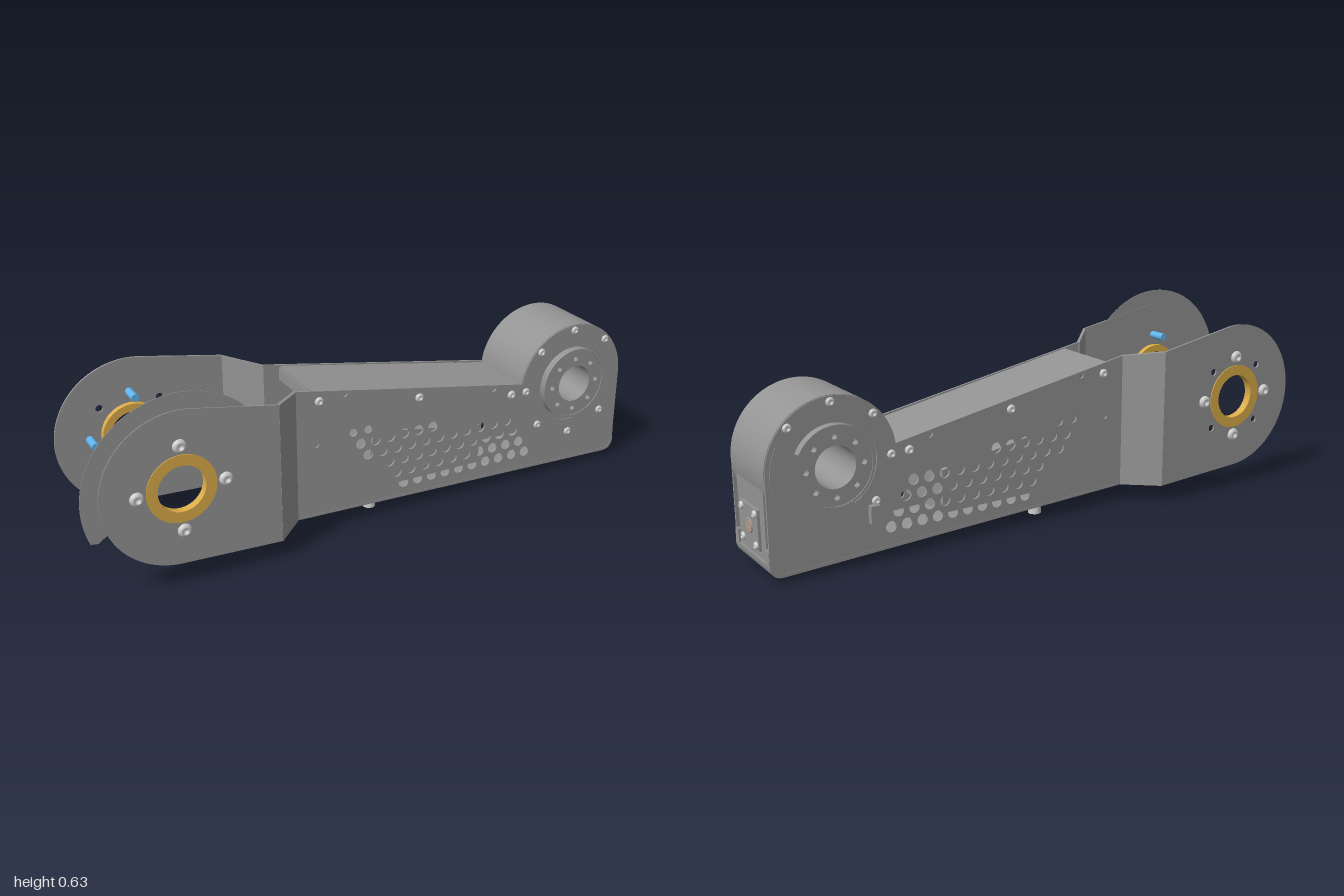
import * as THREE from 'three';

const mat = (color) => new THREE.MeshStandardMaterial({ color });
const DARK = mat(0x949494), GREY = mat(0xcccccc);
const GOLD = mat(0xdcad48), BLUE = mat(0x62b5ee), COPPER = mat(0xb59a88);
const T = 0.007;                     // sheet thickness
const BIG = { x: -0.697, y: 0.328 }; // axis of the fork ears
const DRUM = { x: 0.778, y: 0.328, r: 0.21 };
const topY = (x) => 0.546 - 0.179 * (x + 0.49);
const botY = (x) => 0.06 - 0.031 * (x + 0.28);

export function createModel() {
  const root = new THREE.Group();

  const add = (name, geo, material = DARK, parent = root) => {
    const m = new THREE.Mesh(geo, material);
    m.name = name;
    parent.add(m);
    return m;
  };
  const box = (name, size, [x, y, z]) => add(name, new THREE.BoxGeometry(...size)).position.set(x, y, z);
  const hole = (shape, x, y, r) => {
    shape.holes.push(new THREE.Path().absarc(x, y, r, 0, Math.PI * 2, true));
  };
  const disc = (x, y, r) => new THREE.Shape().absarc(x, y, r, 0, Math.PI * 2, false);
  const sector = (c, r0, r1, a0, a1) =>
    new THREE.Shape().absarc(c.x, c.y, r1, a0, a1, false).absarc(c.x, c.y, r0, a1, a0, true);
  const poly = (pts) => new THREE.Shape(pts.map(([x, y]) => new THREE.Vector2(x, y)));
  // Extrude an x-y outline between two z values
  const slab = (shape, z0, z1, curveSegments = 12) =>
    new THREE.ExtrudeGeometry(shape, { depth: z1 - z0, bevelEnabled: false, curveSegments }).translate(0, 0, z0);

  // Domed screw head with a socket, pointing along dir
  const screw = (x, y, z, dir, r, h, name, parent = root) => {
    const p = [[r, 0], [r, h * 0.3], [r * 0.92, h * 0.65], [r * 0.65, h * 0.95], [r * 0.4, h], [r * 0.35, h * 0.4], [0, h * 0.4]];
    const m = add(name, new THREE.LatheGeometry(p.map(([a, b]) => new THREE.Vector2(a, b)), 16), GREY, parent);
    m.position.set(x, y, z);
    m.quaternion.setFromUnitVectors(new THREE.Vector3(0, 1, 0), dir);
  };

  // Ventilation holes in a staggered grid, kept clear of the drum
  const ventHoles = (shape) => {
    for (let j = 0; j < 6; j++) {
      const y = 0.1 + j * 0.045;
      for (let i = 0; i < 16; i++) {
        const x = -0.16 + i * 0.054 + (j % 2) * 0.027;
        const clear = Math.hypot(x - DRUM.x, y - DRUM.y) > 0.245;
        if (x > -0.12 + (0.34 - y) * 0.9 && x < 0.62 && y < 0.345 - 0.17 * (x + 0.12) && clear)
          hole(shape, x, y, j === 5 ? 0.014 : 0.018);
      }
    }
  };

  for (const s of [1, -1]) {
    const side = new THREE.Group();
    side.name = s > 0 ? 'frontSide' : 'backSide';
    root.add(side);
    const out = new THREE.Vector3(0, 0, s);
    // Sheet lying between two distances from the middle plane, on this side
    const sheet = (shape, near, far) => slab(shape, s > 0 ? near : -far, s > 0 ? far : -near, 40);

    // Flat cheek plate, wrapped around the drum
    const cheek = new THREE.Shape();
    cheek.moveTo(-0.28, botY(-0.28));
    cheek.lineTo(0.945, botY(0.945));
    cheek.quadraticCurveTo(0.986, 0.022, 0.986, 0.06);
    cheek.lineTo(0.986, DRUM.y);
    cheek.absarc(DRUM.x, DRUM.y, 0.208, 0, Math.PI - 0.15, false);
    cheek.lineTo(-0.28, topY(-0.28));
    hole(cheek, DRUM.x, DRUM.y, 0.142);
    hole(cheek, -0.21, 0.31, 0.008);
    hole(cheek, -0.11, 0.466, 0.01);
    hole(cheek, 0.455, 0.366, 0.01);
    ventHoles(cheek);
    add('cheekPlate', sheet(cheek, 0.125 - T, 0.125), DARK, side);

    // Bent panel joining cheek and ear, sheared outward
    const flare = sheet(poly([[-0.38, 0.063], [-0.28, 0.06], [-0.28, topY(-0.28)], [-0.38, topY(-0.38)]]), 0.113, 0.127);
    const pos = flare.attributes.position;
    for (let i = 0; i < pos.count; i++)
      pos.setZ(i, pos.getZ(i) + s * 0.098 * (-0.28 - pos.getX(i)) / 0.1);
    flare.computeVertexNormals();
    add('flarePanel', flare, DARK, side);

    // Rounded fork ear
    const ear = new THREE.Shape();
    ear.moveTo(-0.38, 0.063);
    ear.lineTo(-0.38, topY(-0.38));
    ear.absarc(BIG.x, BIG.y, 0.25, 1.39, 4.67, false);
    hole(ear, BIG.x, BIG.y, 0.095);
    if (s < 0)
      for (let k = 0; k < 4; k++) {
        const a = Math.PI / 4 + k * Math.PI / 2;
        hole(ear, BIG.x + 0.14 * Math.cos(a), BIG.y + 0.14 * Math.sin(a), 0.012);
      }
    add('forkEar', sheet(ear, 0.224 - T, 0.224), DARK, side);

    // Bearing ring, its screws and the standoffs inside
    const ring = [[0.075, 0.2], [0.1, 0.2], [0.1, 0.216], [0.11, 0.224], [0.11, 0.227], [0.075, 0.227], [0.075, 0.2]];
    const ringPts = ring.flatMap(([r, z]) => [new THREE.Vector2(r, z), new THREE.Vector2(r, z)]).slice(1, -1);
    const bearing = add('bearingRing', new THREE.LatheGeometry(ringPts, 48), GOLD, side);
    bearing.rotation.x = s * Math.PI / 2;
    bearing.position.set(BIG.x, BIG.y, 0);
    for (let k = 0; k < 4; k++) {
      const a = k * Math.PI / 2;
      const x = BIG.x + 0.138 * Math.cos(a), y = BIG.y + 0.138 * Math.sin(a);
      screw(x, y, s * 0.224, out, 0.022, 0.013, 'earScrew', side);
      const rod = add('standoff', new THREE.CylinderGeometry(0.013, 0.013, 0.062, 16), BLUE, side);
      rod.rotation.x = Math.PI / 2;
      rod.position.set(x, y, s * 0.186);
    }

    // Hub disc with eight bolt holes and a raised rim
    const hub = disc(DRUM.x, DRUM.y, 0.127);
    hole(hub, DRUM.x, DRUM.y, 0.065);
    for (let k = 0; k < 8; k++) {
      const a = k * Math.PI / 4;
      hole(hub, DRUM.x + 0.092 * Math.cos(a), DRUM.y + 0.092 * Math.sin(a), 0.009);
    }
    add('hubDisc', sheet(hub, 0.12, 0.144), DARK, side);
    add('hubRim', sheet(sector(DRUM, 0.118, 0.127, 0, Math.PI * 2), 0.144, 0.147), DARK, side);

    // Cheek screws around the drum and along the top edge
    for (let k = 1; k < 8; k++) {
      const a = k * Math.PI / 4;
      screw(DRUM.x + 0.19 * Math.cos(a), DRUM.y + 0.19 * Math.sin(a), s * 0.125, out, 0.014, 0.008, 'drumScrew', side);
    }
    for (const [x, y] of [[-0.2, 0.46], [0.163, 0.397], [0.528, 0.33]])
      screw(x, y, s * 0.125, out, 0.015, 0.009, 'cheekScrew', side);
  }

  // Thin stop plates: one on the front ear, one on the back of the drum
  const earStop = new THREE.Shape();
  earStop.moveTo(-0.49, 0.546);
  earStop.absarc(BIG.x, BIG.y, 0.303, 0.81, 3.52, false);
  earStop.lineTo(-0.955, 0.213);
  earStop.lineTo(-0.929, 0.232);
  earStop.absarc(BIG.x, BIG.y, 0.235, 3.54, 0.81, true);
  add('earStopPlate', slab(earStop, 0.2185, 0.2205, 40));
  add('drumStopPlate', slab(sector(DRUM, 0.12, 0.204, -2, 0.47), -0.149, -0.147, 40));

  // Drum housing with a through bore
  const drum = disc(DRUM.x, DRUM.y, DRUM.r);
  hole(drum, DRUM.x, DRUM.y, 0.065);
  add('drum', slab(drum, -0.121, 0.121, 48));

  // Sloping top cover with a lip at its open end
  add('topCover', slab(poly([[-0.22, topY(-0.22) - 0.012], [0.59, topY(0.59) - 0.012],
    [0.59, topY(0.59) - 0.003], [-0.22, topY(-0.22) - 0.003]]), -0.12, 0.12));
  box('coverLip', [0.006, 0.04, 0.238], [-0.22, topY(-0.22) - 0.03, 0]);

  // Bottom tray curling up at the drum end
  const tray = new THREE.Shape();
  tray.moveTo(-0.27, botY(-0.27));
  tray.lineTo(0.945, botY(0.945));
  tray.quadraticCurveTo(0.988, 0.022, 0.988, 0.066);
  tray.lineTo(0.978, 0.066);
  tray.quadraticCurveTo(0.978, 0.033, 0.945, 0.033);
  tray.lineTo(-0.27, botY(-0.27) + 0.008);
  add('bottomTray', slab(tray, -0.126, 0.126));
  for (const s of [1, -1]) box('trayTab', [0.01, 0.046, 0.024], [0.983, 0.085, s * 0.112]);
  box('endWall', [0.01, 0.16, 0.238], [0.9, 0.115, 0]);

  // End panel with a square connector plate
  box('endPanel', [0.012, 0.225, 0.194], [0.977, 0.179, 0]);
  box('connectorPlate', [0.01, 0.126, 0.126], [0.986, 0.153, 0]);
  const right = new THREE.Vector3(1, 0, 0);
  for (const z of [-0.048, 0.048])
    for (const y of [0.105, 0.201]) screw(0.991, y, z, right, 0.012, 0.009, 'plateScrew');
  const socketRing = add('socketRing', new THREE.TorusGeometry(0.021, 0.003, 8, 32));
  const socket = add('socket', new THREE.CylinderGeometry(0.02, 0.02, 0.006, 32), COPPER);
  socketRing.rotation.y = Math.PI / 2;
  socket.rotation.z = Math.PI / 2;
  for (const m of [socketRing, socket]) m.position.set(0.991, 0.153, 0);

  // Cable glands under the tray and small feet
  for (const z of [-0.048, 0.048]) {
    add('cableGland', new THREE.CylinderGeometry(0.019, 0.022, 0.045, 20), GREY).position.set(0.02, 0.0225, z);
    add('glandNut', new THREE.CylinderGeometry(0.034, 0.034, 0.016, 6)).position.set(0.02, 0.05, z);
    screw(0.88, botY(0.88), z * 0.9, new THREE.Vector3(0, -1, 0), 0.016, 0.01, 'foot');
  }

  // Electronics case behind the vents, and a small latch on the back cheek
  add('innerCase', slab(poly([[-0.03, 0.1], [0.41, 0.1], [0.41, 0.24], [0.0, 0.305]]), -0.115, 0.115));
  box('latch', [0.03, 0.055, 0.02], [0.655, 0.157, -0.134]);

  return root;
}
